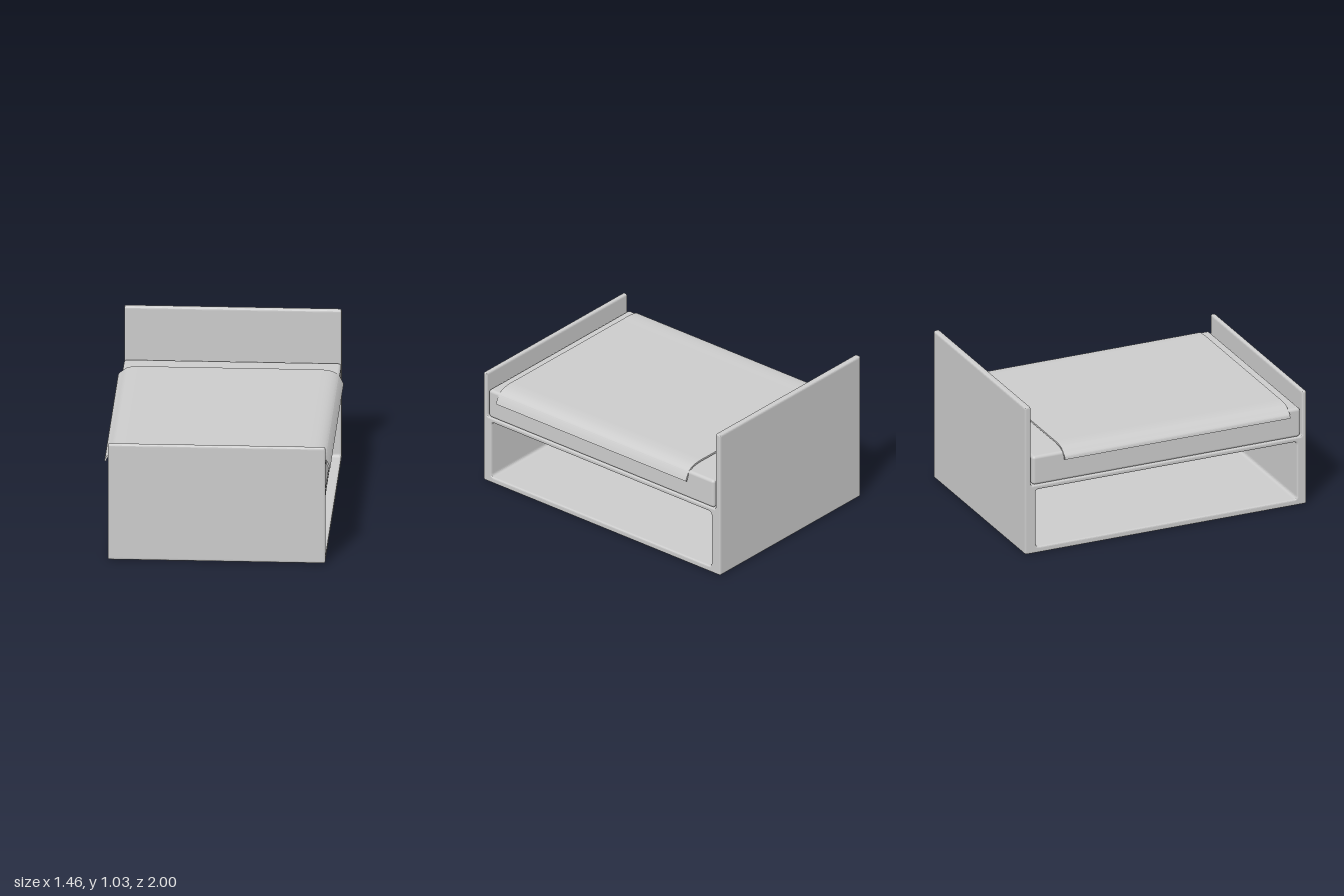
import * as THREE from 'three';
import { RoundedBoxGeometry } from 'three/addons/geometries/RoundedBoxGeometry.js';

const material = new THREE.MeshStandardMaterial({ color: 0xcccccc });
const blanketMaterial = new THREE.MeshStandardMaterial({ color: 0xcccccc, side: THREE.DoubleSide });

// Traces a closed polygon with every corner rounded by r.
function roundedPolygon(path, corners, r) {
  const pts = corners.map(([x, y]) => new THREE.Vector2(x, y));
  const n = pts.length;
  pts.forEach((p, i) => {
    const toward = (q) => p.clone().add(q.clone().sub(p).setLength(r));
    const a = toward(pts[(i + n - 1) % n]);
    const b = toward(pts[(i + 1) % n]);
    if (i === 0) path.moveTo(a.x, a.y);
    else path.lineTo(a.x, a.y);
    path.quadraticCurveTo(p.x, p.y, b.x, b.y);
  });
  path.closePath();
  return path;
}

// Side profile (z, y) swept across the width: base, both end boards and deck in one piece.
function frameGeometry() {
  const shape = roundedPolygon(new THREE.Shape(), [
    [-1, 0], [1, 0], [1, 0.79], [0.967, 0.79], [0.967, 0.475],
    [-0.957, 0.475], [-0.957, 1.03], [-1, 1.03],
  ], 0.016);
  shape.holes.push(roundedPolygon(new THREE.Path(), [
    [-0.922, 0.042], [-0.922, 0.442], [0.932, 0.442], [0.932, 0.042],
  ], 0.022));
  const bevel = 0.011;
  const width = 1.4 - 2 * bevel;
  const geometry = new THREE.ExtrudeGeometry(shape, {
    depth: width, curveSegments: 5,
    bevelSize: bevel, bevelThickness: bevel, bevelOffset: -bevel, bevelSegments: 3,
  });
  return geometry.translate(0, 0, -width / 2).rotateY(-Math.PI / 2);
}

// Thin sheet: a draped curve across the bed, thickened and swept along the length.
function blanketGeometry(zBack, zFront, thickness) {
  const curve = new THREE.CatmullRomCurve3([
    [-0.73, 0.63], [-0.724, 0.652], [-0.703, 0.671], [-0.67, 0.694], [-0.62, 0.704],
    [-0.5, 0.705], [0, 0.705], [0.5, 0.705],
    [0.6, 0.704], [0.655, 0.694], [0.69, 0.674], [0.71, 0.645], [0.726, 0.61],
  ].map(([x, y]) => new THREE.Vector3(x, y, 0)), false, 'centripetal');
  const outer = [], inner = [];
  const steps = 72;
  for (let i = 0; i <= steps; i++) {
    const p = curve.getPoint(i / steps);
    const t = curve.getTangent(i / steps);
    outer.push(new THREE.Vector2(p.x, p.y));
    inner.push(new THREE.Vector2(p.x + t.y * thickness, p.y - t.x * thickness));
  }
  const shape = new THREE.Shape([...outer, ...inner.reverse()]);
  const geometry = new THREE.ExtrudeGeometry(shape, { depth: zFront - zBack, bevelEnabled: false });
  return geometry.translate(0, 0, zBack);
}

export function createModel() {
  const model = new THREE.Group();
  model.name = 'bed';
  const add = (name, geometry, mat = material) => {
    const mesh = new THREE.Mesh(geometry, mat);
    mesh.name = name;
    model.add(mesh);
    return mesh;
  };

  add('bedFrame', frameGeometry());

  // Mattress between the two boards
  add('mattress', new RoundedBoxGeometry(1.4, 0.2, 1.9, 4, 0.02)).position.set(0, 0.576, 0.006);

  // Blanket hanging slightly over both sides
  add('blanket', blanketGeometry(-0.73, 0.87, 0.012), blanketMaterial);

  return model;
}
